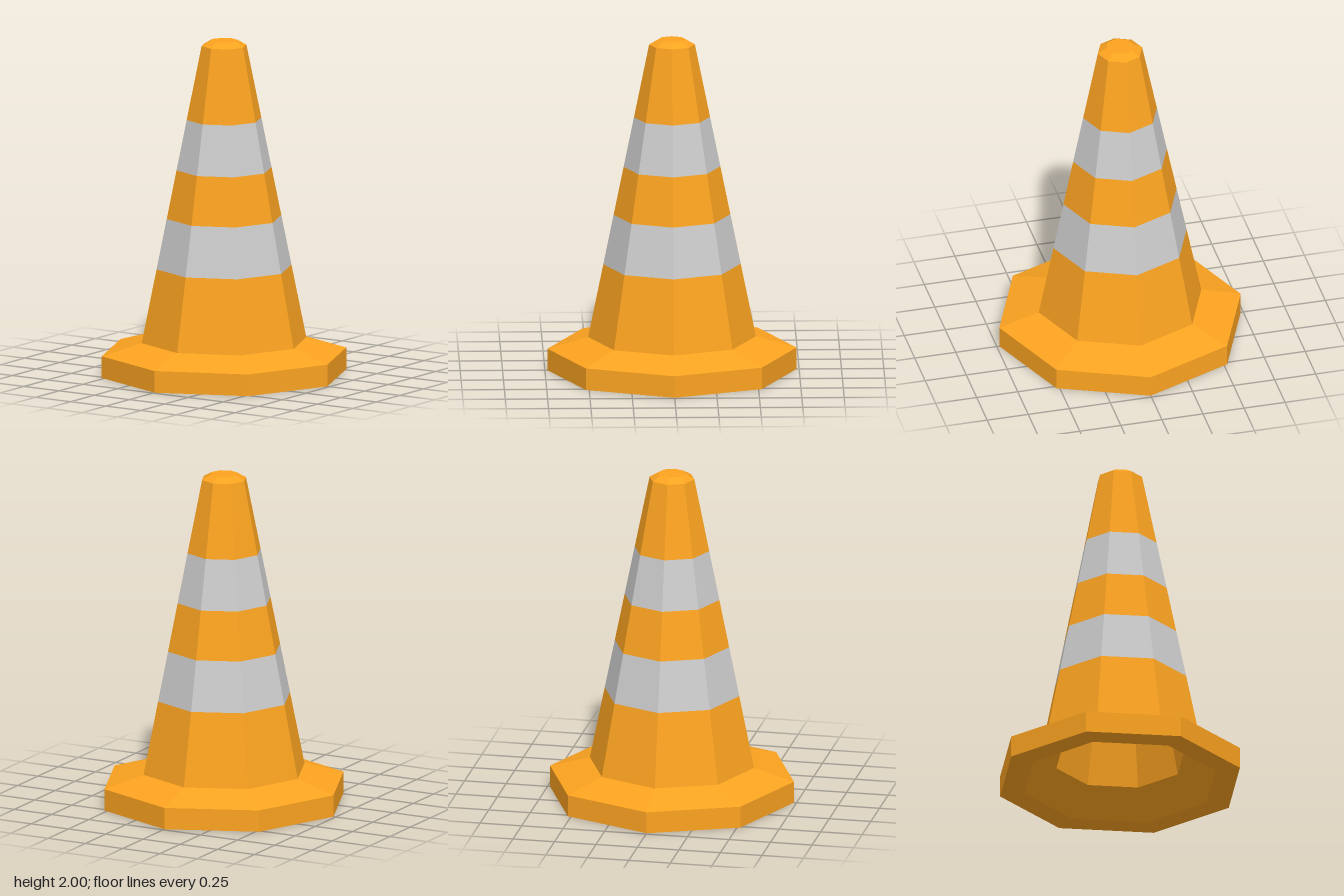
import * as THREE from 'three';

const SIDES = 8;
const orange = new THREE.MeshStandardMaterial({ color: 0xfca320, flatShading: true });
const grey = new THREE.MeshStandardMaterial({ color: 0xcccccc, flatShading: true });

// Eight-sided shell turned from [radius, height] pairs; upward runs face outward
function turned(name, profile, material) {
  const points = profile.map(([r, y]) => new THREE.Vector2(r, y));
  const mesh = new THREE.Mesh(new THREE.LatheGeometry(points, SIDES), material);
  mesh.name = name;
  return mesh;
}

// Radius of the tapering body at a given height
const bodyRadius = (y) => THREE.MathUtils.mapLinear(y, 0.2, 1.97, 0.495, 0.135);

export function createModel() {
  const cone = new THREE.Group();
  cone.name = 'trafficCone';

  // Hollow underside, flat rim and sloped foot
  cone.add(turned('hollowInside', [[0, 1.9], [0.06, 1.9], [0.39, 0.14], [0.585, 0]], orange));
  cone.add(turned('base', [[0.585, 0], [0.735, 0], [0.735, 0.13], [0.495, 0.2]], orange));

  // Body in alternating orange and reflective bands
  const heights = [0.2, 0.64, 0.94, 1.23, 1.53, 1.97];
  for (let i = 0; i < heights.length - 1; i++) {
    const band = [heights[i], heights[i + 1]].map((y) => [bodyRadius(y), y]);
    const striped = i % 2 === 1;
    cone.add(turned(striped ? 'reflectiveStripe' : 'bodyBand', band, striped ? grey : orange));
  }

  // Bevelled closed tip
  cone.add(turned('tip', [[0.135, 1.97], [0.083, 2], [0, 2]], orange));
  return cone;
}
